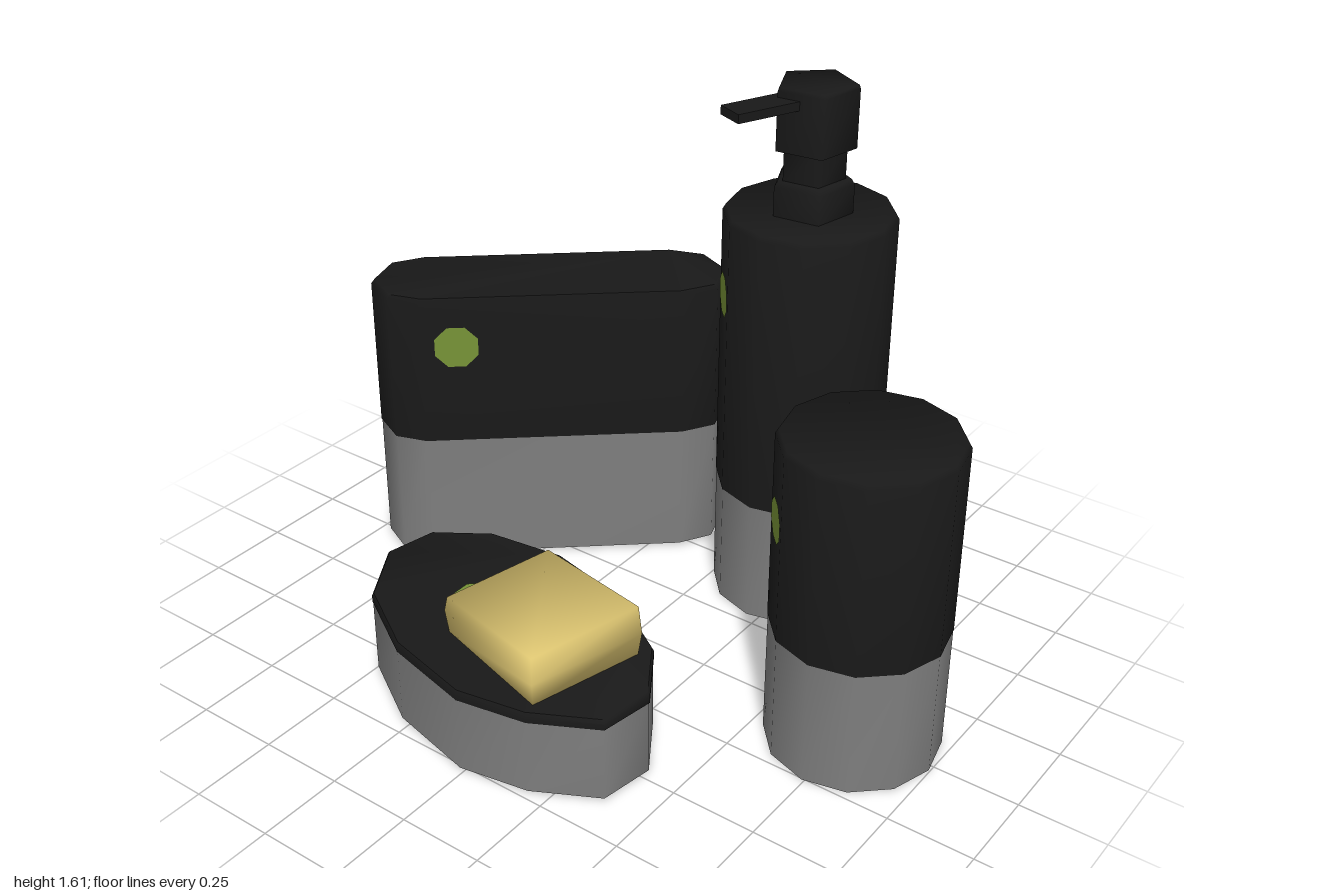
import * as THREE from 'three';
import { toCreasedNormals } from 'three/addons/utils/BufferGeometryUtils.js';

const material = (name, color) => {
  const m = new THREE.MeshStandardMaterial({ color });
  m.name = name;
  return m;
};

// Closed solid from a horizontal outline [x, z] repeated at levels [y, scale].
function loft(outline, levels, crease = 1) {
  const n = outline.length;
  const cx = outline.reduce((s, p) => s + p[0], 0) / n;
  const cz = outline.reduce((s, p) => s + p[1], 0) / n;
  const pos = [], idx = [];
  for (const [y, s] of levels)
    for (const [x, z] of outline) pos.push(cx + (x - cx) * s, y, cz + (z - cz) * s);
  const last = levels.length - 1, top = last * n;
  for (let i = 0; i < n; i++) {
    const j = (i + 1) % n;
    for (let k = 0; k < last; k++) {
      const a = k * n + i, b = k * n + j;
      idx.push(a, a + n, b, b, a + n, b + n);
    }
  }
  for (let i = 1; i < n - 1; i++) idx.push(0, i, i + 1, top, top + i + 1, top + i);
  const g = new THREE.BufferGeometry();
  g.setAttribute('position', new THREE.Float32BufferAttribute(pos, 3));
  g.setIndex(idx);
  return toCreasedNormals(g, crease);
}

// Regular outline around a vertical axis.
const ring = (cx, cz, r, sides, turn) => Array.from({ length: sides }, (_, i) => {
  const a = turn + (i / sides) * Math.PI * 2;
  return [cx + r * Math.cos(a), cz + r * Math.sin(a)];
});

export function createModel() {
  const root = new THREE.Group();
  root.name = 'bathroomSet';
  const black = material('matteBlack', 0x191919);
  const grey = material('stoneGrey', 0x7e7e7e);
  const pale = material('paleUnderside', 0xc8c8c8);
  const cream = material('soapYellow', 0xe0c873);
  const green = material('leafGreen', 0x779337);

  const group = (name) => {
    const g = new THREE.Group();
    g.name = name;
    root.add(g);
    return g;
  };
  const add = (parent, name, geometry, mat) => {
    const m = new THREE.Mesh(geometry, mat);
    m.name = name;
    parent.add(m);
    return m;
  };
  // Grey base standing on a thin pale sole.
  const base = (parent, outline, y0, y1) => {
    add(parent, 'underside', loft(outline, [[y0, 0.99], [y0 + 0.003, 0.99]]), pale);
    add(parent, 'base', loft(outline, [[y0 + 0.002, 0.995], [y1, 0.995]]), grey);
  };
  // Base with a black upper part and a fine rounded rim.
  const vessel = (parent, outline, y0, seam, y1, rim = 0.965) => {
    base(parent, outline, y0, seam);
    add(parent, 'upperBody', loft(outline, [[seam, 1], [y1 - 0.015, 1], [y1, rim]], 1.2), black);
  };
  // Thin flat detail facing along a normal.
  const plate = (parent, name, geometry, mat, p, normal) => {
    const m = add(parent, name, geometry, mat);
    const nrm = new THREE.Vector3(...normal).normalize();
    m.lookAt(nrm);
    m.position.set(...p).addScaledVector(nrm, 0.003);
  };
  const spot = (parent, p, normal, r) =>
    plate(parent, 'greenSpot', new THREE.CircleGeometry(r, 8, Math.PI / 8), green, p, normal);

  // Tumbler
  const tumbler = group('tumbler');
  vessel(tumbler, ring(0.752, 0.011, 0.246, 12, 0.04), 0, 0.38, 0.95);
  spot(tumbler, [0.58, 0.715, 0.174], [-0.735, 0, 0.678], 0.064);

  // Pump dispenser
  const dispenser = group('dispenser');
  vessel(dispenser, ring(0.219, -0.525, 0.246, 12, 0.04), 0, 0.38, 1.24);
  spot(dispenser, [0.047, 0.99, -0.362], [-0.735, 0, 0.678], 0.067);
  const pentagon = (r) => ring(0.22, -0.523, r, 5, -0.42);
  add(dispenser, 'collar', loft(pentagon(0.118), [[1.23, 1], [1.325, 1], [1.34, 0.92]], 1.3), black);
  add(dispenser, 'neck', loft(pentagon(0.092), [[1.33, 1], [1.44, 1]], 1.3), black);
  add(dispenser, 'pumpHead', loft(pentagon(0.118), [[1.43, 1], [1.6, 1], [1.61, 0.97]], 1.3), black);
  const nozzle = add(dispenser, 'nozzle', new THREE.BoxGeometry(0.085, 0.026, 0.22), black);
  nozzle.position.set(0.155, 1.57, -0.367);
  nozzle.rotation.y = Math.atan2(-0.108, 0.254);
  // Pale sliver on the bevel of the shoulder
  plate(dispenser, 'rimSliver', new THREE.PlaneGeometry(0.085, 0.017), cream,
    [-0.009, 1.2325, -0.474], [-0.845, 0.5, 0.19]);

  // Long holder with rounded ends
  const holder = group('longHolder');
  vessel(holder, [
    [-0.365, -0.683], [-0.26, -0.72], [-0.147, -0.672], [-0.108, -0.56], [-0.163, -0.464],
    [-0.755, 0.048], [-0.85, 0.08], [-0.963, 0.027], [-1, -0.09], [-0.947, -0.18],
  ], 0.01, 0.42, 0.9, 0.98);
  spot(holder, [-0.675, 0.74, -0.021], [0.654, 0, 0.757], 0.07);

  // Soap dish
  const dish = group('soapDish');
  const oval = [
    [-0.184, 0.114], [0.083, 0.176], [0.298, 0.313], [0.405, 0.478], [0.378, 0.638], [0.197, 0.735],
    [-0.008, 0.772], [-0.275, 0.71], [-0.49, 0.58], [-0.6, 0.397], [-0.568, 0.245], [-0.418, 0.144],
  ];
  base(dish, oval, 0.01, 0.24);
  add(dish, 'dishTop', loft(oval, [[0.24, 1], [0.26, 1], [0.27, 0.985]]), black);
  spot(dish, [-0.235, 0.27, 0.418], [0, 1, 0], 0.071);

  // Soap bar: soft block whose upper face slopes up to the left
  const bar = loft([[-0.115, 0.25], [0.287, 0.357], [0.195, 0.703], [-0.2, 0.59]],
    [[0.268, 0.97], [0.34, 1.01], [0.405, 0.975]]);
  const p = bar.attributes.position;
  for (let i = 0; i < p.count; i++)
    if (p.getY(i) > 0.4) p.setY(i, 0.405 + 0.085 * (p.getX(i) - 0.04));
  add(dish, 'soapBar', toCreasedNormals(bar, Math.PI), cream);

  return root;
}
